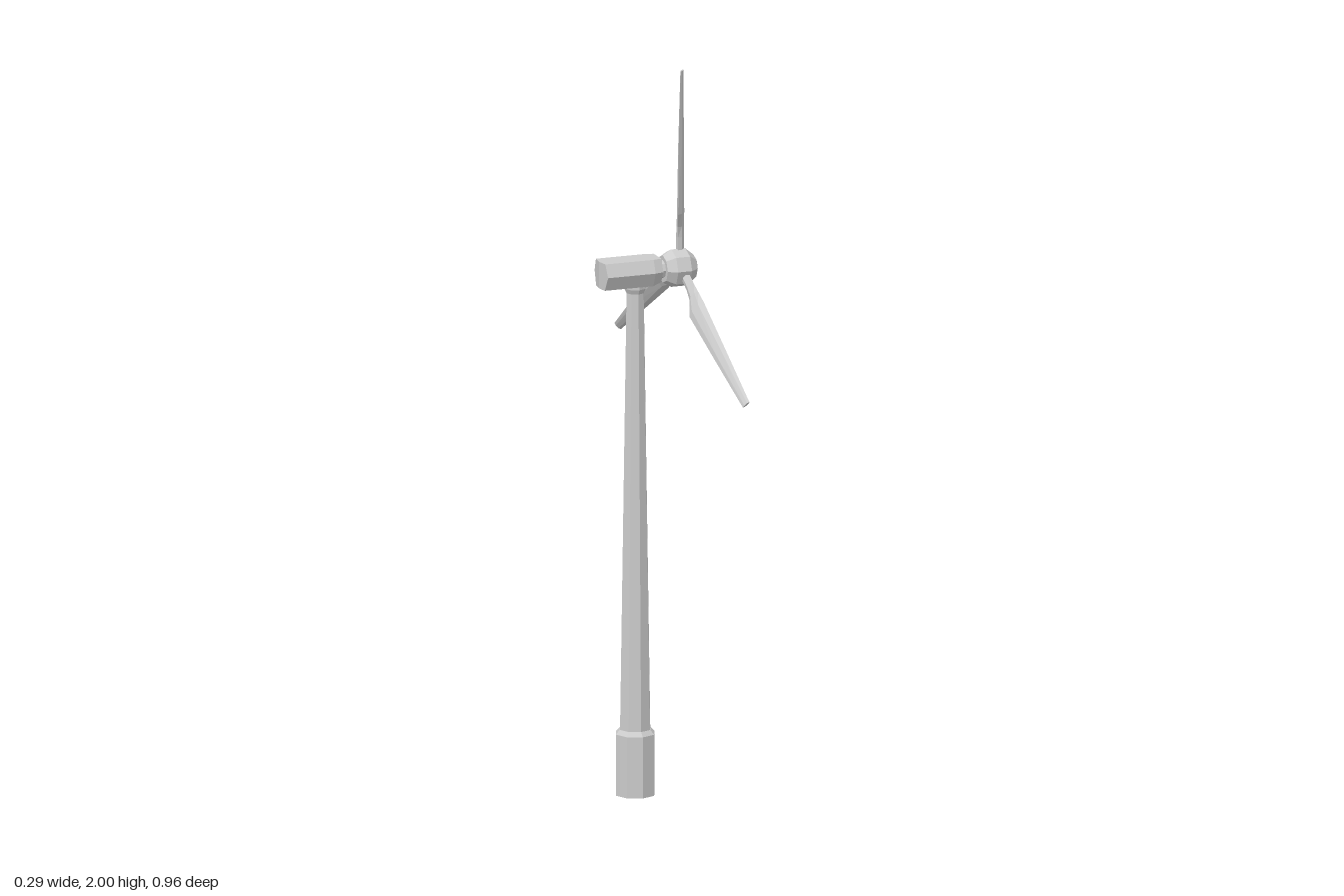
import * as THREE from 'three';

const material = new THREE.MeshStandardMaterial({ color: 0xcccccc, flatShading: true });
const HUB_Y = 1.453;

function part(name, geometry, parent) {
  const mesh = new THREE.Mesh(geometry, material);
  mesh.name = name;
  parent.add(mesh);
  return mesh;
}

// Skin over closed rings, counter-clockwise about the direction they advance in
function loft(rings) {
  const n = rings[0].length, last = (rings.length - 1) * n, index = [];
  for (let i = 0; i < rings.length - 1; i++) {
    for (let j = 0; j < n; j++) {
      const a = i * n + j, b = i * n + (j + 1) % n;
      index.push(a, b, b + n, a, b + n, a + n);
    }
  }
  for (let j = 1; j < n - 1; j++) {
    index.push(0, j + 1, j, last, last + j, last + j + 1);
  }
  const geometry = new THREE.BufferGeometry();
  geometry.setAttribute('position', new THREE.Float32BufferAttribute(rings.flat(2), 3));
  geometry.setIndex(index);
  const flat = geometry.toNonIndexed();
  flat.computeVertexNormals();
  return flat;
}

// Eight-sided turned solid from [radius, height] pairs
function turned(profile) {
  return new THREE.LatheGeometry(profile.map(([r, y]) => new THREE.Vector2(r, y)), 8);
}

// Housing cross-section: x, width scale, bottom height, end bulge
function nacelleRing([x, w, bottom, bulge]) {
  const half = [[1.49, 0.035], [1.455, 0.05], [bottom, 0.032]];
  const pts = [[1.49, 0], ...half, [bottom, 0], ...half.map(([y, z]) => [y, -z]).reverse()];
  return pts.map(([y, z]) => [x + bulge * Math.abs(z) / 0.05, y, z * w]);
}

// Blade cross-section: height, leading edge x/z, trailing edge x/z, half thickness
function bladeRing([y, lx, lz, tx, tz, t]) {
  const cx = tx - lx, cz = tz - lz, len = Math.hypot(cx, cz);
  const nx = cz / len * t, nz = -cx / len * t;
  const at = (f, s) => [lx + cx * f + nx * s, y, lz + cz * f + nz * s];
  return [at(1, 0), at(0.7, 0.85), at(0.25, 1), at(0, 0), at(0.25, -1), at(0.7, -0.85)];
}

export function createModel() {
  const model = new THREE.Group();
  model.name = 'windTurbine';

  // Foundation and tapering tower
  const tower = new THREE.Group();
  tower.name = 'tower';
  tower.position.x = -0.04;
  model.add(tower);
  part('foundation', turned([[0, 0], [0.056, 0], [0.056, 0.17], [0.045, 0.182], [0, 0.182]]), tower);
  part('mast', turned([[0.044, 0.175], [0.025, 1.395], [0.031, 1.408], [0.031, 1.42], [0, 1.42]]), tower);

  // Machine housing
  part('nacelle', loft([
    [-0.145, 1, 1.416, 0.007],
    [0, 1, 1.416, 0],
    [0.025, 0.84, 1.424, 0],
  ].map(nacelleRing)), model);

  // Rotor turns about the x axis
  const rotor = new THREE.Group();
  rotor.name = 'rotor';
  rotor.position.y = HUB_Y;
  model.add(rotor);

  const shaft = part('shaft', new THREE.CylinderGeometry(0.025, 0.025, 0.03, 8), rotor);
  shaft.rotation.z = -Math.PI / 2;
  shaft.position.x = 0.033;

  const hub = part('hub', turned([
    [0, 0.04], [0.038, 0.04], [0.052, 0.065], [0.052, 0.105], [0.032, 0.129], [0, 0.141],
  ]), rotor);
  hub.rotation.z = -Math.PI / 2;

  // Three twisted blades
  const blade = loft([
    [0.03, 0.1, -0.014, 0.082, 0.006, 0.01],
    [0.085, 0.1, -0.014, 0.082, 0.006, 0.01],
    [0.115, 0.101, -0.015, 0.08, 0.011, 0.009],
    [0.155, 0.103, -0.015, 0.071, 0.035, 0.008],
    [0.34, 0.103, -0.013, 0.078, 0.022, 0.006],
    [0.547, 0.103, -0.01, 0.088, 0.009, 0.003],
  ].map(bladeRing));
  for (let i = 0; i < 3; i++) {
    part('blade' + (i + 1), blade, rotor).rotation.x = i * Math.PI * 2 / 3;
  }

  return model;
}
